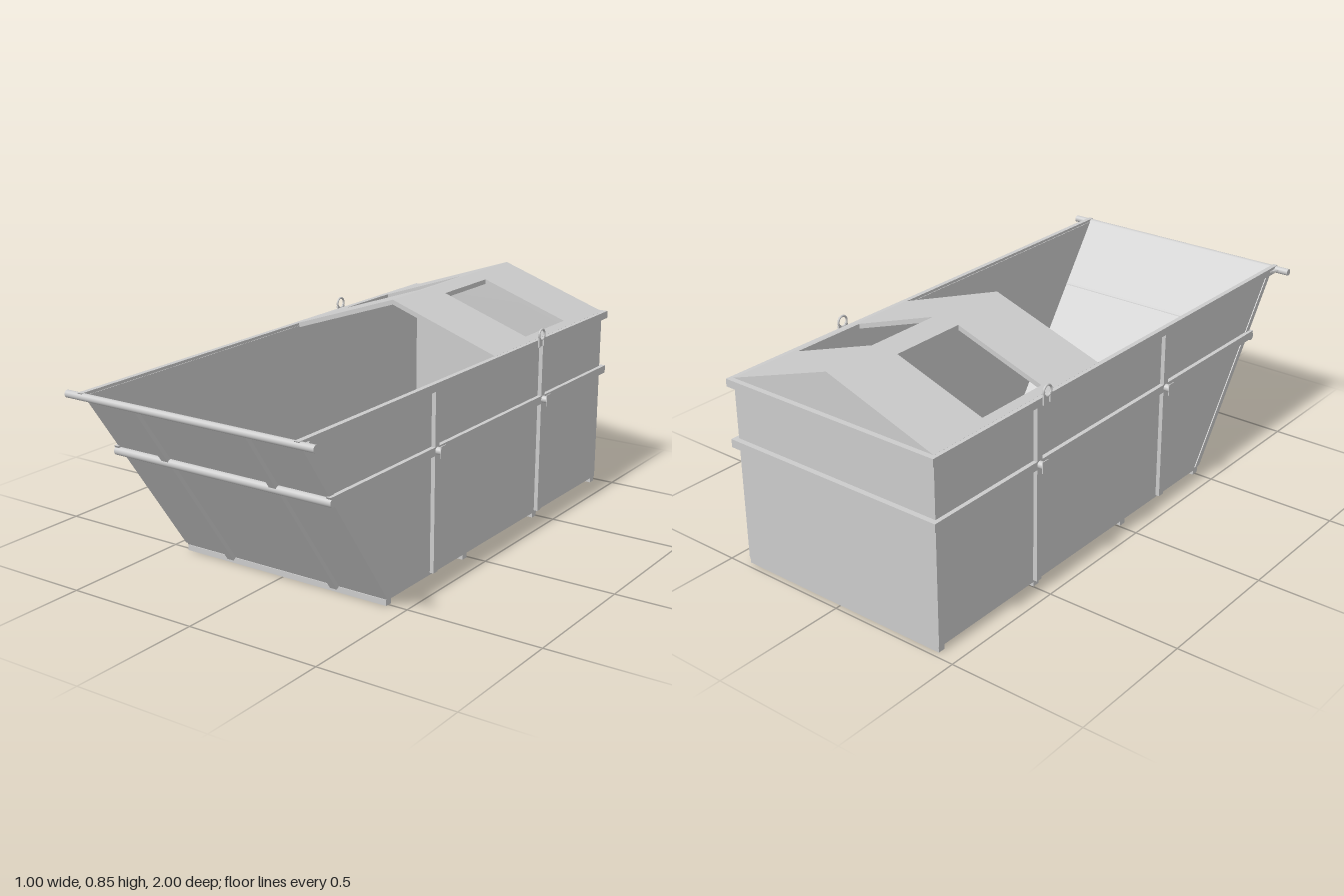
import * as THREE from 'three';

const material = new THREE.MeshStandardMaterial({ color: 0xcccccc, side: THREE.DoubleSide });
const WALL = 0.427, BACK = -0.98, RIM = 0.69;
// the front wall leans outward: z at a given height
const frontZ = y => 0.51 + (y - 0.02) * 0.7015;

export function createModel() {
  const root = new THREE.Group();
  root.name = 'skipContainer';

  const add = (name, geometry, x = 0, y = 0, z = 0, parent = root) => {
    const mesh = new THREE.Mesh(geometry, material);
    mesh.name = name;
    mesh.position.set(x, y, z);
    parent.add(mesh);
    return mesh;
  };
  const box = (name, w, h, d, x, y, z, parent) => add(name, new THREE.BoxGeometry(w, h, d), x, y, z, parent);
  const polygon = points => new THREE.Shape(points.map(p => new THREE.Vector2(...p)));
  const extrude = (shape, depth) => new THREE.ExtrudeGeometry(shape, { depth, bevelEnabled: false, curveSegments: 12 });
  const barX = (name, radius, length, x, y, z, parent) =>
    add(name, new THREE.CylinderGeometry(radius, radius, length, 20).rotateZ(Math.PI / 2), x, y, z, parent);
  // outline in (z, y), given thickness along x, centred on x
  const sidePlate = (name, points, thickness, x) =>
    add(name, extrude(polygon(points), thickness).translate(0, 0, -thickness / 2).rotateY(-Math.PI / 2), x);

  // floor with drain holes
  const floor = polygon([[-WALL, BACK], [WALL, BACK], [WALL, 0.51], [-WALL, 0.51]]);
  for (const x of [-0.305, 0.305]) for (const z of [-0.705, 0.275])
    floor.holes.push(new THREE.Path().absarc(x, z, 0.008, 0, Math.PI * 2, true));
  add('floor', extrude(floor, 0.005).rotateX(Math.PI / 2), 0, 0.026, 0);
  for (const z of [0.5, 0.02, -0.485, -0.965]) box('floorSkid', 2 * WALL, 0.021, 0.028, 0, 0.0105, z);

  // back wall and its rails
  box('backWall', 2 * WALL, RIM - 0.02, 0.005, 0, (RIM + 0.02) / 2, BACK + 0.0025);
  box('backTopRail', 0.89, 0.028, 0.02, 0, 0.686, -0.99);
  box('backMiddleRail', 0.89, 0.03, 0.02, 0, 0.465, -0.99);

  // leaning front wall: local y runs up the slope, local z points outward
  const front = new THREE.Group();
  front.name = 'frontWall';
  front.position.set(0, 0.02, 0.51);
  front.rotation.x = Math.atan(0.7015);
  root.add(front);
  const slope = Math.hypot(1, 0.7015);
  const length = (RIM - 0.02) * slope;
  box('frontPanel', 2 * WALL, length, 0.005, 0, length / 2, -0.0025, front);
  for (const x of [-0.222, 0.222]) box('frontPost', 0.028, length - 0.01, 0.016, x, length / 2, 0.008, front);
  barX('frontMiddleRail', 0.015, 0.89, 0, 0.445 * slope, 0.009, front);
  barX('frontTopBar', 0.013, 1, 0, 0.686, 0.987);

  for (const s of [-1, 1]) {
    sidePlate('sideWall', [[BACK, 0.02], [0.51, 0.02], [frontZ(RIM), RIM], [BACK, RIM]], 0.005, s * WALL);
    // rails cut to match the front slope
    for (const [name, low, high] of [['sideTopRail', 0.672, 0.7], ['sideMiddleRail', 0.45, 0.48]])
      sidePlate(name, [[-1, low], [frontZ(low) + 0.01, low], [frontZ(high) + 0.01, high], [-1, high]], 0.018, s * 0.436);
    // edge strip along the front corner
    sidePlate('cornerStrip', [[0.49, 0.03], [0.519, 0.03], [frontZ(0.68) + 0.002, 0.68], [frontZ(0.68) - 0.024, 0.68]], 0.006, s * 0.43);
    // gusset behind the front bar
    const gusset = polygon([[s * 0.443, 0.94], [s * 0.443, 0.985], [s * 0.468, 0.985]]);
    add('barGusset', extrude(gusset, 0.006).rotateX(Math.PI / 2), 0, 0.69, 0);

    // side posts with flanged pegs
    for (const z of [0.24, -0.49]) {
      box('sidePost', 0.018, 0.645, 0.026, s * 0.436, 0.3505, z);
      barX('peg', 0.013, 0.03, s * 0.453, 0.466, z);
      box('pegFlange', 0.003, 0.042, 0.03, s * 0.468, 0.466, z);
    }

    // lifting eye: a ring on a small foot
    const eye = new THREE.Group();
    eye.name = 'liftingEye';
    eye.position.set(s * 0.449, 0.718, -0.457);
    root.add(eye);
    add('ring', new THREE.TorusGeometry(0.02, 0.004, 10, 28).rotateY(Math.PI / 2), 0, 0, 0, eye);
    box('foot', 0.006, 0.035, 0.01, 0, -0.027, -0.017, eye);
    box('foot', 0.006, 0.035, 0.01, 0, -0.027, 0.017, eye);

    // roof half, cut flat with its hatch opening and then sheared to the pitch
    const half = polygon([[0, BACK], [s * 0.43, BACK], [s * 0.43, -0.155], [0, -0.155]]);
    half.holes.push(new THREE.Path([[0.055, -0.72], [0.055, -0.425], [0.4, -0.425], [0.4, -0.72]]
      .map(([x, z]) => new THREE.Vector2(s * x, z))));
    const roof = extrude(half, 0.018).rotateX(Math.PI / 2);
    const p = roof.attributes.position;
    for (let i = 0; i < p.count; i++) p.setY(i, p.getY(i) + 0.846 - 0.339 * Math.abs(p.getX(i)));
    roof.computeVertexNormals();
    add('roofHalf', roof);
  }

  // gable closing the back of the roof
  add('backGable', extrude(polygon([[-WALL, 0.69], [WALL, 0.69], [0, 0.835]]), 0.005), 0, 0, BACK + 0.003);
  return root;
}
